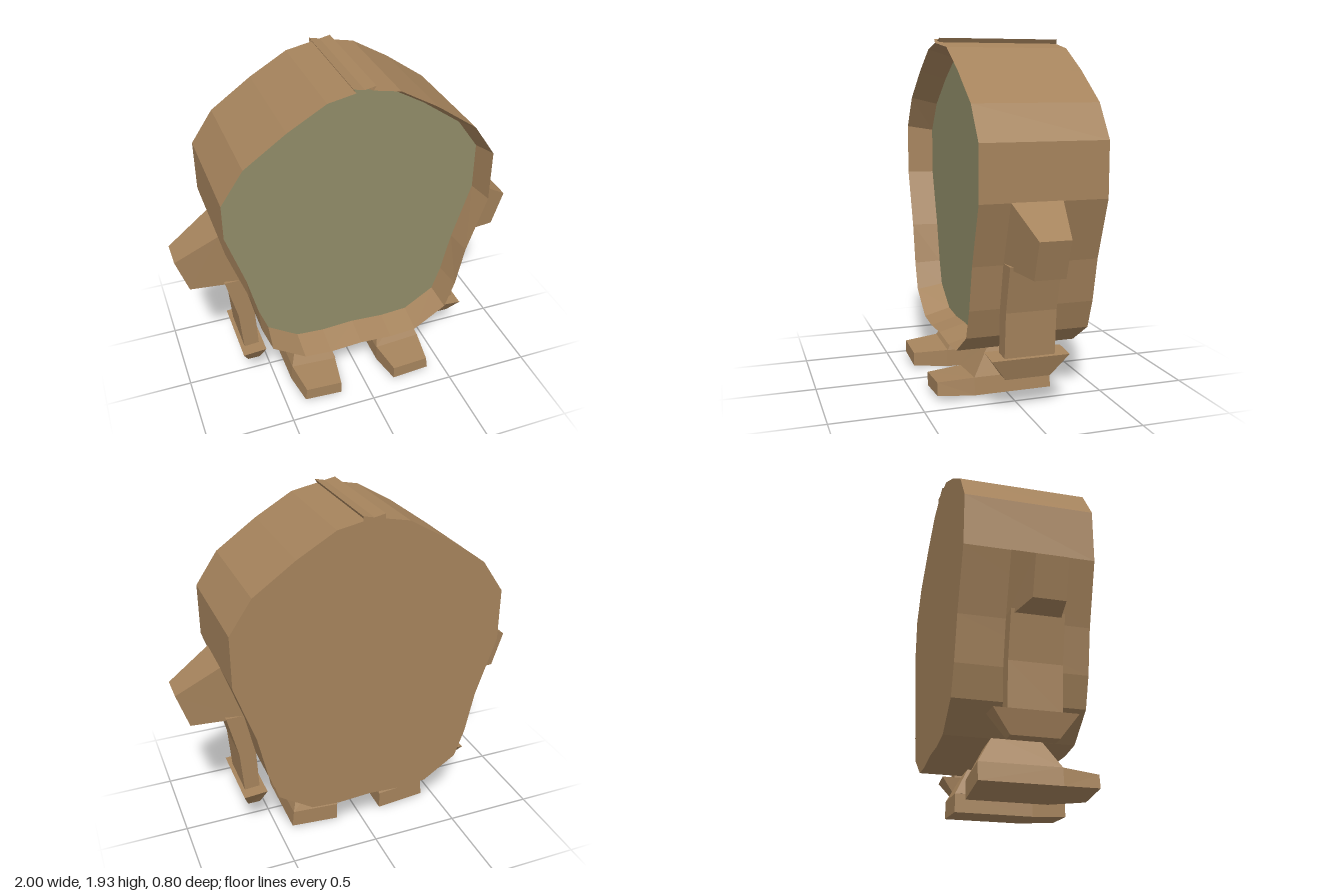
import * as THREE from 'three';

const brown = new THREE.MeshStandardMaterial({ color: 0xa5835c, flatShading: true });
const olive = new THREE.MeshStandardMaterial({ color: 0x8f8b67, flatShading: true });

// Skin a list of equal-length point rings; optional flat caps; faces always turned outward.
function loft(rings, capStart = true, capEnd = true) {
  const tris = [];
  for (let r = 0; r < rings.length - 1; r++) {
    const a = rings[r], b = rings[r + 1], n = a.length;
    for (let i = 0; i < n; i++) {
      const j = (i + 1) % n;
      tris.push([a[i], a[j], b[j]], [a[i], b[j], b[i]]);
    }
  }
  const fan = (ring, flip) => {
    for (let i = 1; i < ring.length - 1; i++) {
      tris.push(flip ? [ring[0], ring[i + 1], ring[i]] : [ring[0], ring[i], ring[i + 1]]);
    }
  };
  if (capStart) fan(rings[0], true);
  if (capEnd) fan(rings[rings.length - 1], false);
  const v = (p) => new THREE.Vector3(...p);
  const centre = rings.flat().reduce((s, p) => s.add(v(p)), new THREE.Vector3())
    .divideScalar(rings.length * rings[0].length);
  let volume = 0;
  for (const t of tris) {
    const [a, b, c] = t.map((p) => v(p).sub(centre));
    volume += a.dot(b.cross(c));
  }
  const points = tris.flatMap((t) => (volume < 0 ? [t[0], t[2], t[1]] : t)).flat();
  const g = new THREE.BufferGeometry();
  g.setAttribute('position', new THREE.Float32BufferAttribute(points, 3));
  g.computeVertexNormals();
  return g;
}

function add(parent, name, geometry, material = brown) {
  const mesh = new THREE.Mesh(geometry, material);
  mesh.name = name;
  parent.add(mesh);
}

// Half outline (bottom centre to top centre) turned into a full symmetric outline.
const symmetric = (half) => [
  ...half,
  ...half.slice(1, -1).reverse().map(([x, y]) => [-x, y]),
];

// Quad across the depth between two profile points.
const crossQuad = ([x0, y0], [x1, y1], zBack, zFront) => [
  [x0, y0, zBack], [x1, y1, zBack], [x1, y1, zFront], [x0, y0, zFront],
];
// Horizontal rectangle.
const level = (y, x0, x1, zBack, zFront) => crossQuad([x0, y], [x1, y], zBack, zFront);

export function createModel() {
  const model = new THREE.Group();
  model.name = 'roundBodiedFigure';

  // Body shell with a tapered recess in front and a raised seam on top
  const outer = symmetric([
    [0, 0.265], [0.19, 0.253], [0.35, 0.265], [0.54, 0.39], [0.597, 0.55], [0.648, 0.79],
    [0.76, 1.12], [0.76, 1.415], [0.635, 1.598], [0.405, 1.76], [0.195, 1.882],
    [0.045, 1.912], [0.06, 1.935], [0, 1.922],
  ]);
  const inner = symmetric([
    [0, 0.308], [0.19, 0.296], [0.35, 0.307], [0.525, 0.42], [0.575, 0.56], [0.63, 0.79],
    [0.737, 1.12], [0.737, 1.39], [0.615, 1.56], [0.395, 1.715], [0.19, 1.832],
    [0.045, 1.862], [0.03, 1.868], [0, 1.873],
  ]);
  const atDepth = (outline, z) => outline.map(([x, y]) => [x, y, z]);
  const panelZ = 0.13;
  add(model, 'bodyShell', loft([
    atDepth(outer, -0.4), atDepth(outer, 0.285), atDepth(inner, panelZ),
  ], true, false));

  // Flat front panel at the bottom of the recess
  const panel = new THREE.ShapeGeometry(
    new THREE.Shape(inner.map(([x, y]) => new THREE.Vector2(x, y))));
  panel.translate(0, 0, panelZ);
  add(model, 'frontPanel', panel, olive);

  for (const [side, s] of [['left', 1], ['right', -1]]) {
    const place = (name, rings) => add(model, side + name,
      loft(rings.map((ring) => ring.map(([x, y, z]) => [s * x, y, z]))));

    // Shoulder flare
    place('Shoulder', [
      crossQuad([0.645, 0.785], [0.76, 1.122], -0.155, 0.12),
      crossQuad([0.935, 0.77], [1.0, 0.97], -0.1, 0.065),
    ]);
    // Bent arm
    place('Arm', [
      crossQuad([0.63, 0.8], [0.75, 0.8], -0.155, 0.12),
      crossQuad([0.595, 0.55], [0.69, 0.55], -0.155, 0.12),
      crossQuad([0.585, 0.305], [0.672, 0.305], -0.155, 0.12),
    ]);
    // Tapered hand
    place('Hand', [
      crossQuad([0.56, 0.315], [0.695, 0.305], -0.23, 0.195),
      level(0.187, 0.583, 0.655, -0.137, 0.108),
    ]);
    // Leg flaring into the foot
    place('Leg', [
      level(0.285, 0.185, 0.345, -0.145, 0.1),
      crossQuad([0.135, 0.105], [0.41, 0.125], -0.235, 0.2),
    ]);
    // Foot block with a narrowing toe
    const footSection = (x0, x1, top0, top1, low0, low1, z) => [
      [x0, low0, z], [x1 + 0.01, low1, z], [x1, top1, z], [x0, top0, z],
    ];
    place('Foot', [
      footSection(0.138, 0.41, 0.105, 0.125, 0.003, 0.028, -0.235),
      footSection(0.138, 0.41, 0.105, 0.125, 0.003, 0.028, 0.2),
      footSection(0.17, 0.382, 0.097, 0.11, 0.02, 0.037, 0.4),
    ]);
  }
  return model;
}
